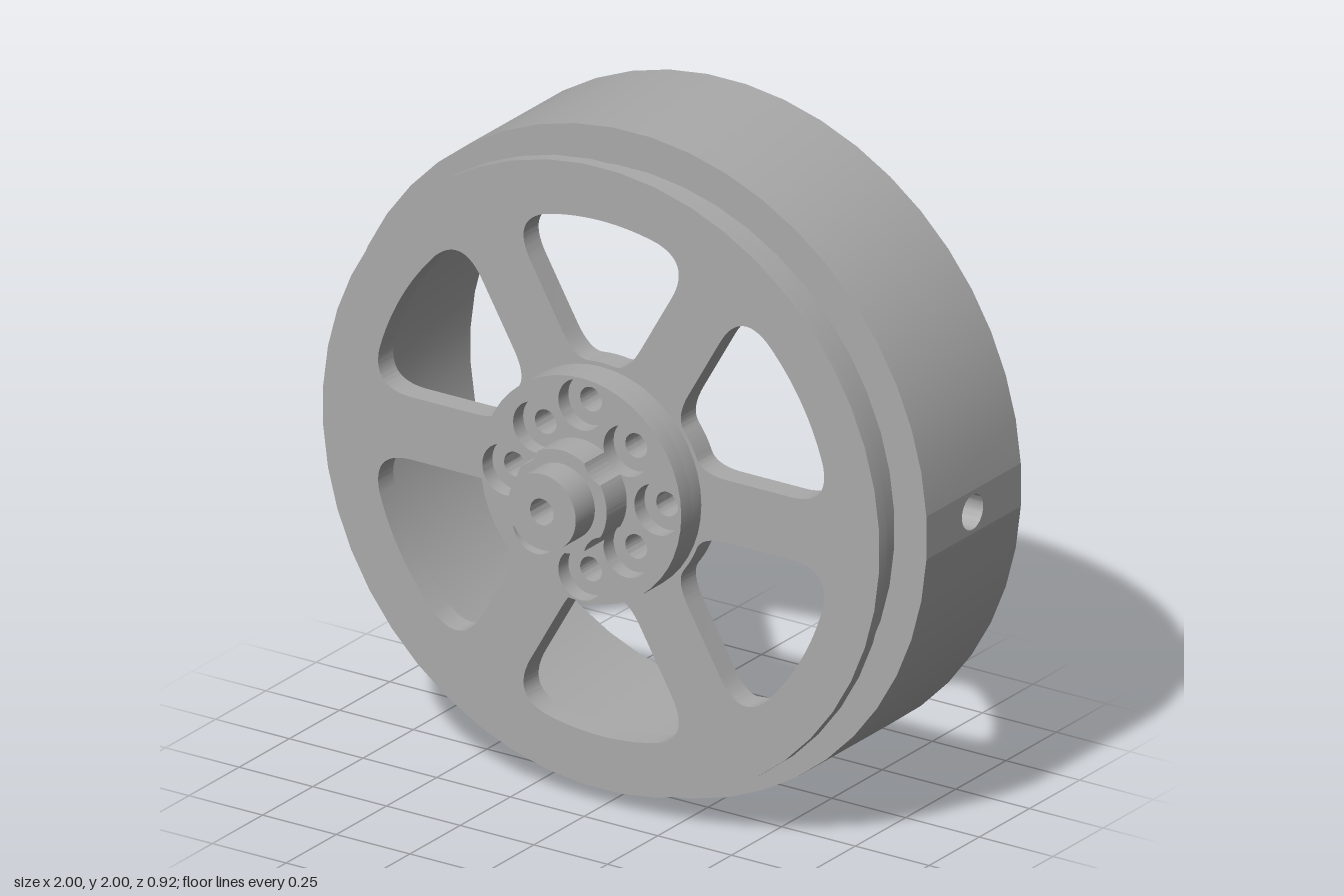
import * as THREE from 'three';
import { toCreasedNormals } from 'three/addons/utils/BufferGeometryUtils.js';

const SEG = 48;
const HALF = Math.PI / SEG; // half the angle of one rim facet
const CREASE = 0.6;
const rad = THREE.MathUtils.degToRad;

export function createModel() {
  const grey = new THREE.MeshStandardMaterial({ color: 0xaaaaaa });
  grey.name = 'machined grey';

  // Everything turns about z; the wheel group lifts it onto the ground.
  const wheel = new THREE.Group();
  wheel.name = 'wheel';
  wheel.position.y = 1;

  const add = (name, geometry) => {
    const mesh = new THREE.Mesh(toCreasedNormals(geometry, CREASE), grey);
    mesh.name = name;
    wheel.add(mesh);
    return mesh;
  };

  // Turned part: profile of [radius, z]; facets are centred on +x.
  const turned = (name, profile, length = Math.PI * 2) => {
    const pts = profile.map(([r, z]) => new THREE.Vector2(r, z));
    const segs = Math.round(length / (2 * HALF));
    const geo = new THREE.LatheGeometry(pts, segs, Math.PI / 2 + HALF, length);
    return add(name, geo.rotateX(Math.PI / 2));
  };

  const disc = (r) => new THREE.Shape().absarc(0, 0, r, 0, Math.PI * 2, false);
  const hole = (x, y, r) => new THREE.Path().absarc(x, y, r, 0, Math.PI * 2, true);

  // Flat part cut from a sheet between z0 and z1.
  const plate = (name, shape, holes, z0, z1) => {
    shape.holes.push(...holes);
    const geo = new THREE.ExtrudeGeometry(shape, {
      depth: z1 - z0, bevelEnabled: false, curveSegments: 24,
    });
    return add(name, geo.translate(0, 0, z0));
  };

  // Rim: outer wall without the facet that carries the side hole
  turned('rimOuterWall', [[1, -0.46], [1, 0.01]], Math.PI * 2 - 2 * HALF);
  turned('rimShoulderAndFlange', [
    [1, 0.01], [0.89, 0.01], [0.89, 0.125], [0.945, 0.125], [0.945, 0.165], [0.86, 0.165],
  ]);
  turned('rimInnerWall', [
    [0.85, 0.09], [0.85, -0.43], [0.89, -0.43], [0.89, -0.46], [1, -0.46],
  ]);

  // Facet with the side hole, and the blind bore behind it
  const w = Math.sin(HALF);
  const facetX = Math.cos(HALF);
  const facet = new THREE.Shape([
    new THREE.Vector2(-0.01, -w), new THREE.Vector2(0.46, -w),
    new THREE.Vector2(0.46, w), new THREE.Vector2(-0.01, w),
  ]);
  facet.holes.push(hole(0.22, 0, 0.053));
  add('sideHoleFacet', new THREE.ShapeGeometry(facet, 16).rotateY(Math.PI / 2))
    .position.x = facetX;
  const bore = new THREE.LatheGeometry(
    [[0.053, 0], [0.053, -0.1], [0, -0.1]].map(([r, y]) => new THREE.Vector2(r, y)), 32);
  add('sideHoleBore', bore.rotateZ(-Math.PI / 2)).position.set(facetX, 0, -0.22);

  // Bolt circle: four holes on the axes, four nearer ones on the diagonals
  const bolts = [];
  for (let i = 0; i < 8; i++) {
    const d = i % 2 ? 0.217 : 0.258;
    bolts.push([d * Math.cos(i * Math.PI / 4), d * Math.sin(i * Math.PI / 4)]);
  }
  const boltHoles = (r) => bolts.map(([x, y]) => hole(x, y, r));
  const axle = () => hole(0, 0, 0.04);

  // Window between two parallel-sided spokes, with rounded corners
  const slot = (angle) => {
    const at = (r, a) => [r * Math.cos(angle + a), r * Math.sin(angle + a)];
    const side = (u, s) => at(Math.hypot(u, 0.095), s * (rad(30) - Math.atan2(0.095, u)));
    const p = new THREE.Path();
    p.moveTo(...at(0.352, rad(-7)));
    p.quadraticCurveTo(...side(0.342, -1), ...side(0.43, -1));
    p.lineTo(...side(0.64, -1));
    p.quadraticCurveTo(...side(0.778, -1), ...at(0.783, rad(-14)));
    p.absarc(0, 0, 0.783, angle - rad(14), angle + rad(14), false);
    p.quadraticCurveTo(...side(0.778, 1), ...side(0.64, 1));
    p.lineTo(...side(0.43, 1));
    p.quadraticCurveTo(...side(0.342, 1), ...at(0.352, rad(7)));
    p.absarc(0, 0, 0.352, angle + rad(7), angle - rad(7), true);
    return p;
  };
  const slots = [];
  for (let i = 0; i < 6; i++) slots.push(slot(rad(30 + 60 * i)));

  plate('spokeWeb', disc(0.87), [...slots, ...boltHoles(0.037), axle()], 0.09, 0.165);

  // Hub disc in two layers, so the bolt holes are counterbored
  plate('hubBase', disc(0.34), [...boltHoles(0.037), axle()], 0.165, 0.215);
  plate('hubFace', disc(0.34), [...boltHoles(0.077), axle()], 0.215, 0.265);

  // Neck, notched where the diagonal counterbores run into it
  const R = 0.155, D = 0.217, N = 0.077;
  const open = Math.acos((R * R + D * D - N * N) / (2 * R * D));
  const swing = Math.asin(R * Math.sin(open) / N);
  const neck = new THREE.Shape();
  for (let i = 0; i < 4; i++) {
    const a = Math.PI / 4 + i * Math.PI / 2;
    neck.absarc(0, 0, R, a - Math.PI / 2 + open, a - open, false);
    neck.absarc(D * Math.cos(a), D * Math.sin(a), N,
      a + Math.PI + swing, a + Math.PI - swing, true);
  }
  plate('hubNeck', neck, [axle()], 0.265, 0.365);
  plate('hubCap', disc(0.115), [axle()], 0.365, 0.46);

  const model = new THREE.Group();
  model.name = 'spokedWheel';
  model.add(wheel);
  return model;
}
